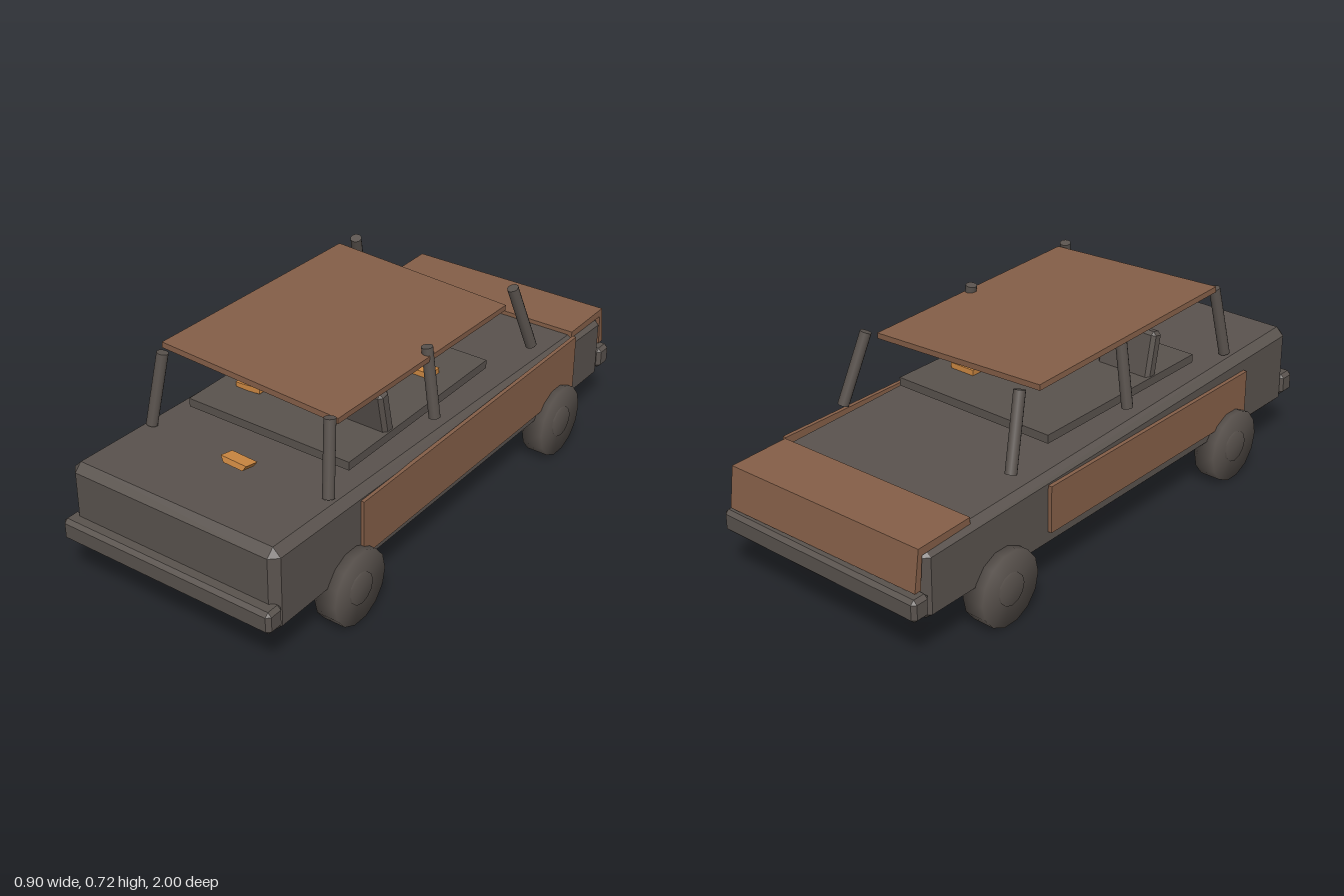
import * as THREE from 'three';
import { ConvexGeometry } from 'three/addons/geometries/ConvexGeometry.js';

const mat = (name, color) => Object.assign(new THREE.MeshStandardMaterial({ color }), { name });

// Box with chamfered edges; warp(point) may reshape its corners
function chamferBox(w, h, d, c, warp = () => {}) {
  const pts = [];
  for (const sx of [-1, 1]) for (const sy of [-1, 1]) for (const sz of [-1, 1]) {
    for (const k of [0, 1, 2]) {
      const p = new THREE.Vector3(
        sx * (w / 2 - (k === 0 ? 0 : c)),
        sy * (h / 2 - (k === 1 ? 0 : c)),
        sz * (d / 2 - (k === 2 ? 0 : c)));
      warp(p);
      pts.push(p);
    }
  }
  return new ConvexGeometry(pts);
}

export function createModel() {
  const model = new THREE.Group();
  model.name = 'wreckedCar';
  const charred = mat('charredMetal', 0x5a534e);
  const rust = mat('rust', 0x855f48);
  const ember = mat('orangeScrap', 0xd08a43);

  const add = (name, geo, material, pos = [0, 0, 0], rot = [0, 0, 0]) => {
    const m = new THREE.Mesh(geo, material);
    m.name = name;
    m.position.set(...pos);
    m.rotation.set(...rot);
    model.add(m);
    return m;
  };

  // Body shell, its top sloping down to the rear
  const bodyH = 0.3;
  add('body', chamferBox(0.81, bodyH, 1.9, 0.028, (p) => {
    const t = (0.95 - p.z) / 1.9;
    p.y -= ((p.y + bodyH / 2) / bodyH) * 0.062 * t;
  }), charred, [0, 0.305, 0.006]);

  // Bumpers
  add('frontBumper', chamferBox(0.825, 0.078, 0.07, 0.013), charred, [0, 0.227, 0.965]);
  add('rearBumper', chamferBox(0.825, 0.078, 0.07, 0.013), charred, [0, 0.222, -0.965]);

  // Rusted side panels, unevenly hung
  add('leftSidePanel', new THREE.BoxGeometry(0.014, 0.2, 1.27), rust, [0.41, 0.309, -0.095]);
  add('rightSidePanel', new THREE.BoxGeometry(0.014, 0.165, 1.07), rust, [-0.412, 0.299, 0.145]);

  // Boot lid folding over the rear edge
  const lid = new THREE.Shape([
    [-0.735, 0.415], [-0.96, 0.412], [-0.98, 0.27], [-0.955, 0.27], [-0.945, 0.385], [-0.735, 0.392],
  ].map(([z, y]) => new THREE.Vector2(z, y)));
  const lidGeo = new THREE.ExtrudeGeometry(lid, { depth: 0.78, bevelEnabled: false });
  lidGeo.translate(0.86, 0, -0.39);
  lidGeo.rotateY(-Math.PI / 2);
  add('bootLid', lidGeo, rust, [0, 0, -0.86], [0, 0.018, 0]);

  // Cabin deck and two seat backs
  add('cabinDeck', new THREE.BoxGeometry(0.64, 0.03, 0.775), charred, [0, 0.471, 0.098]);
  for (const s of [1, -1]) {
    add(s > 0 ? 'leftSeatBack' : 'rightSeatBack', chamferBox(0.215, 0.18, 0.05, 0.012),
      charred, [s * 0.207, 0.547, 0.273], [0.2, 0, 0]);
  }

  // Roof, tilted sideways and to the rear
  add('roof', new THREE.BoxGeometry(0.69, 0.02, 0.93), rust, [-0.005, 0.684, 0.1], [-0.023, 0, -0.0435]);

  // Leaning roof pillars, mirrored
  const pillars = [
    ['front', [0.352, 0.45, 0.632], [0.327, 0.7, 0.588]],
    ['middle', [0.355, 0.455, 0.072], [0.32, 0.702, 0.072]],
    ['rear', [0.36, 0.457, -0.513], [0.325, 0.7, -0.43]],
  ];
  for (const [name, a, b] of pillars) for (const s of [1, -1]) {
    const p = new THREE.Vector3(s * a[0], a[1], a[2]);
    const q = new THREE.Vector3(s * b[0], b[1], b[2]);
    const m = add(`${name}Pillar`, new THREE.CylinderGeometry(0.02, 0.02, p.distanceTo(q), 10), charred);
    m.position.copy(p).add(q).multiplyScalar(0.5);
    m.quaternion.setFromUnitVectors(new THREE.Vector3(0, 1, 0), q.sub(p).normalize());
  }

  // Wheels with smooth shading and a raised hub
  const lathe = (pts, n) => new THREE.LatheGeometry(pts.map(([r, y]) => new THREE.Vector2(r, y)), n);
  const tyre = lathe([[0, -0.039], [0.13, -0.039], [0.13, 0.039], [0, 0.039]], 14);
  const hub = lathe([[0.056, 0.03], [0.056, 0.046], [0, 0.046]], 12);
  for (const z of [0.592, -0.61]) for (const s of [1, -1]) {
    const pos = [s * 0.402, 0.13, z];
    const rot = [0, 0, -s * Math.PI / 2];
    add('wheel', tyre, charred, pos, rot);
    add('hub', hub, charred, pos, rot);
  }

  // Loose scraps, narrower underneath
  const scrap = (taper) => {
    const g = new THREE.BoxGeometry(0.1, 0.02, 0.055);
    const p = g.attributes.position;
    for (let i = 0; i < p.count; i++) if (p.getY(i) < 0) p.setX(i, p.getX(i) * taper);
    g.computeVertexNormals();
    return g;
  };
  add('bonnetScrap', scrap(0.75), ember, [0.05, 0.49, 0.683], [-0.2, 0, -0.04]);
  add('rightScrap', scrap(0.97), ember, [-0.198, 0.496, 0.31], [0, 0, 0.08]);
  add('leftScrap', scrap(0.97), ember, [0.19, 0.496, -0.097], [0, 0, 0]);

  return model;
}
